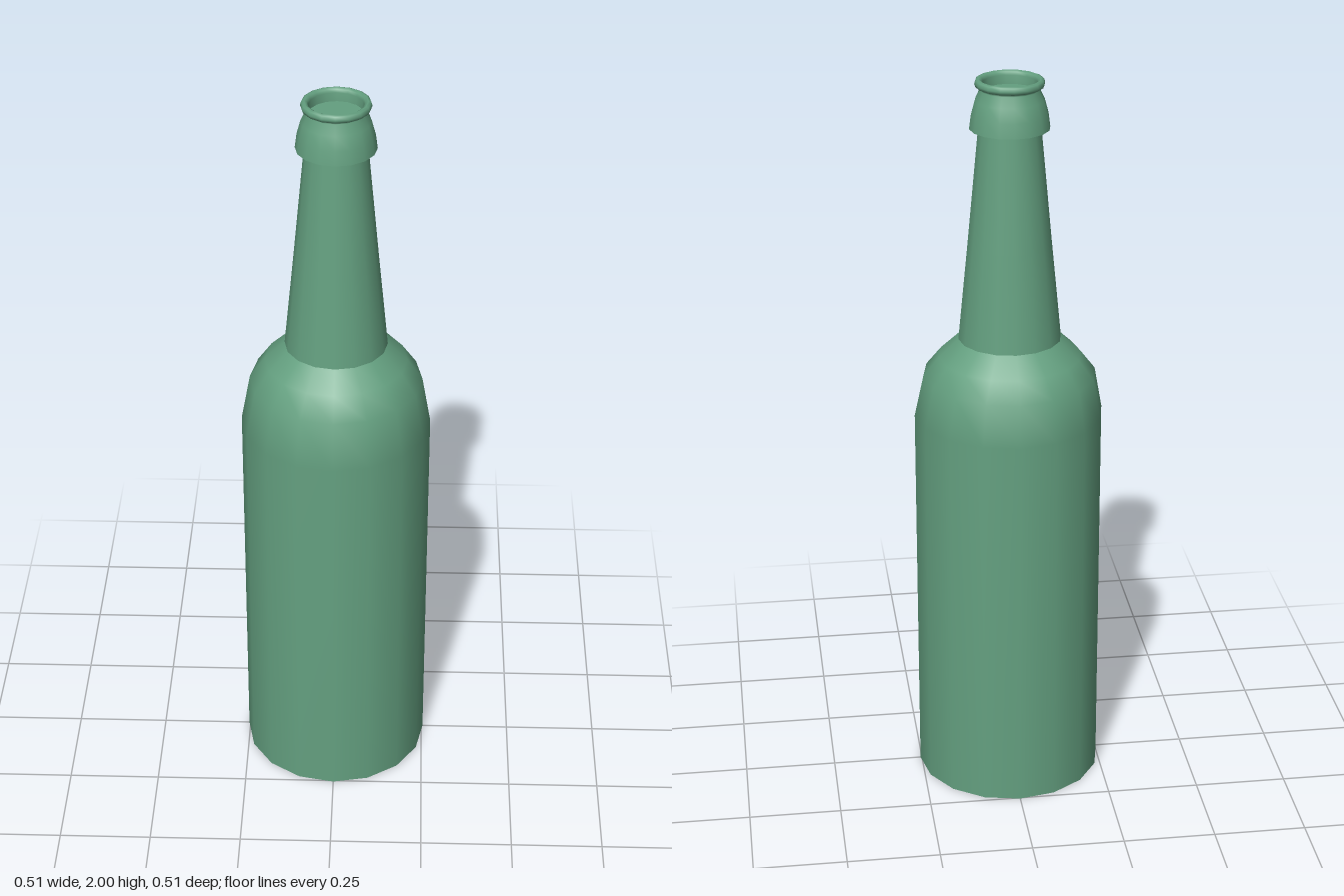
import * as THREE from 'three';

const SIDES = 16;
const glass = new THREE.MeshStandardMaterial({ color: 0x64a080, side: THREE.DoubleSide });

// The shoulder and everything above it sit slightly behind the body axis.
const lean = (y) => -0.025 * THREE.MathUtils.clamp((y - 1.07) / 0.17, 0, 1);

// Turns a [radius, height] profile, listed from bottom to top.
function turned(name, profile) {
  const points = profile.map(([r, y]) => new THREE.Vector2(r, y));
  const geometry = new THREE.LatheGeometry(points, SIDES);
  const position = geometry.attributes.position;
  for (let i = 0; i < position.count; i++) {
    position.setZ(i, position.getZ(i) + lean(position.getY(i)));
  }
  const mesh = new THREE.Mesh(geometry, glass);
  mesh.name = name;
  return mesh;
}

export function createModel() {
  const bottle = new THREE.Group();
  bottle.name = 'bottle';

  bottle.add(
    // flat underside
    turned('base', [[0, 0], [0.254, 0]]),
    // straight body and rounded shoulder
    turned('body', [[0.254, 0], [0.254, 1.07], [0.231, 1.19], [0.19, 1.245], [0.137, 1.295]]),
    // tapering neck
    turned('neck', [[0.137, 1.295], [0.111, 1.56], [0.082, 1.87]]),
    // collar under the lip, with its flat lower ledge
    turned('collarLedge', [[0.08, 1.87], [0.105, 1.87]]),
    turned('collar', [[0.105, 1.87], [0.1, 1.908], [0.09, 1.945], [0.077, 1.972], [0.08, 1.977]]),
    // rounded lip
    turned('lip', [[0.08, 1.977], [0.088, 1.98], [0.091, 1.988], [0.088, 1.997],
      [0.081, 2], [0.074, 1.996], [0.071, 1.988], [0.07, 1.965]]),
    // shallow floor inside the mouth
    turned('mouthFloor', [[0.07, 1.965], [0, 1.965]]),
  );
  return bottle;
}
